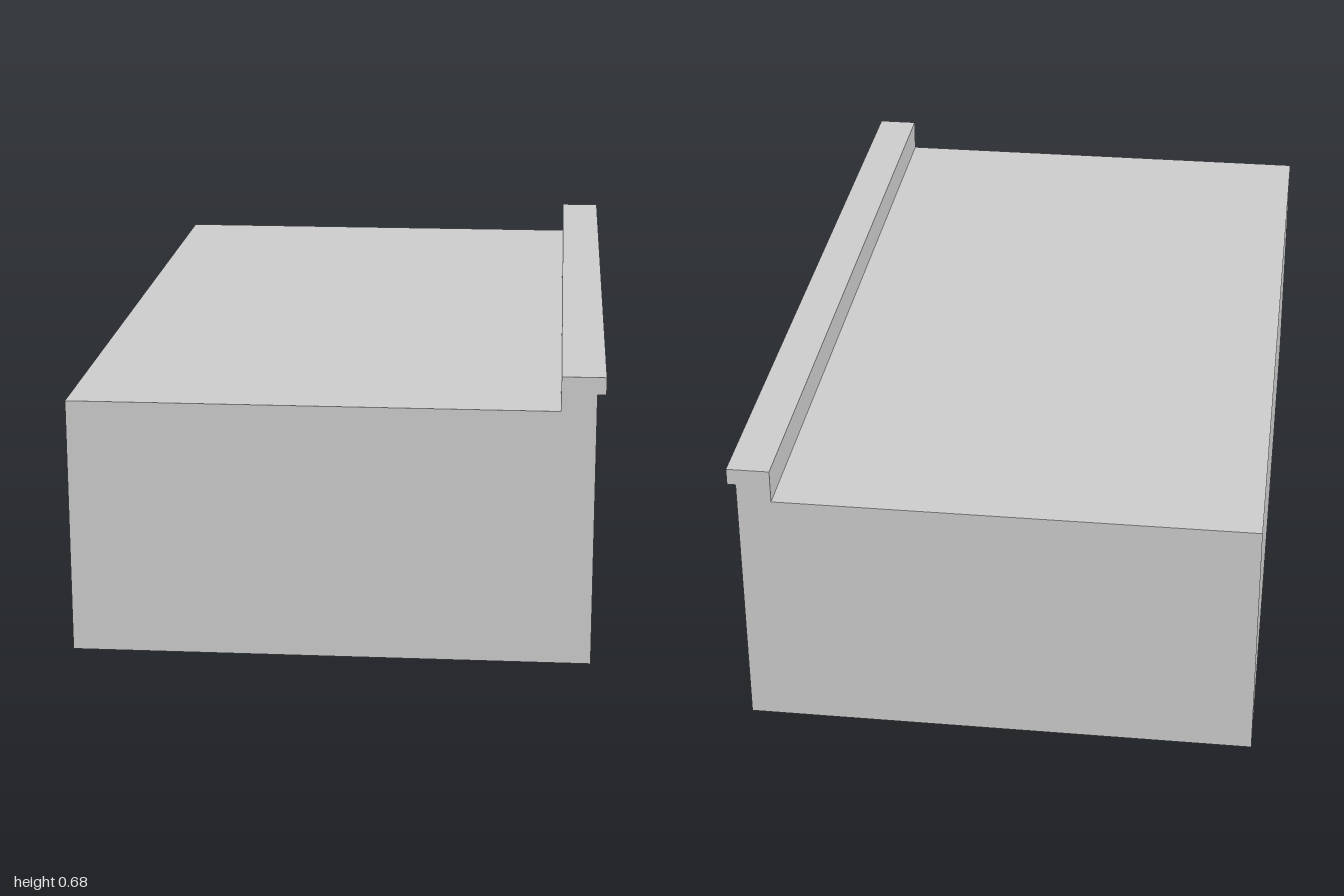
import * as THREE from 'three';

const material = new THREE.MeshStandardMaterial({ color: 0xcccccc, flatShading: true });

const rect = (Type, x0, x1, y0, y1) =>
  new Type([[x0, y0], [x1, y0], [x1, y1], [x0, y1]].map(([x, y]) => new THREE.Vector2(x, y)));

function addMesh(parent, name, geometry) {
  const mesh = new THREE.Mesh(geometry, material);
  mesh.name = name;
  parent.add(mesh);
  return mesh;
}

// Panel drawn in the side plane, extruded along +x from x0
function sidePanel(shape, x0, depth) {
  return new THREE.ExtrudeGeometry(shape, { depth, bevelEnabled: false })
    .rotateY(Math.PI / 2)
    .translate(x0, 0, 0);
}

export function createModel() {
  const house = new THREE.Group();
  house.name = 'building';
  const glassX = 0.53, wallX = 0.59, windowCentres = [-0.4, 0.4];

  // Main block; its front face is the glazing behind the window frames
  addMesh(house, 'mainBlock',
    new THREE.BoxGeometry(glassX + 0.61, 0.6, 2).translate((glassX - 0.61) / 2, 0.3, 0));

  // Facade with two window openings
  const facade = rect(THREE.Shape, -1, 1, 0, 0.6);
  for (const c of windowCentres) facade.holes.push(rect(THREE.Path, c - 0.2, c + 0.2, 0.2, 0.5));
  addMesh(house, 'facadeWall', sidePanel(facade, glassX, wallX - glassX));

  // Recessed frames: one transom light above three panes
  const frame = rect(THREE.Shape, -0.2, 0.2, 0.2, 0.5);
  frame.holes.push(rect(THREE.Path, -0.182, 0.182, 0.452, 0.487));
  for (const [a, b] of [[-0.182, -0.073], [-0.066, 0.066], [0.073, 0.182]])
    frame.holes.push(rect(THREE.Path, a, b, 0.218, 0.437));
  const frameGeometry = sidePanel(frame, glassX, 0.02);
  for (const c of windowCentres) addMesh(house, 'windowFrame', frameGeometry).position.z = c;

  // Parapet with an overhanging lip
  const parapet = new THREE.Shape([[0.51, 0.6], [0.59, 0.6], [0.59, 0.64], [0.61, 0.64], [0.61, 0.68], [0.51, 0.68]]
    .map(([x, y]) => new THREE.Vector2(x, y)));
  addMesh(house, 'parapet',
    new THREE.ExtrudeGeometry(parapet, { depth: 2, bevelEnabled: false }).translate(0, 0, -1));

  return house;
}
